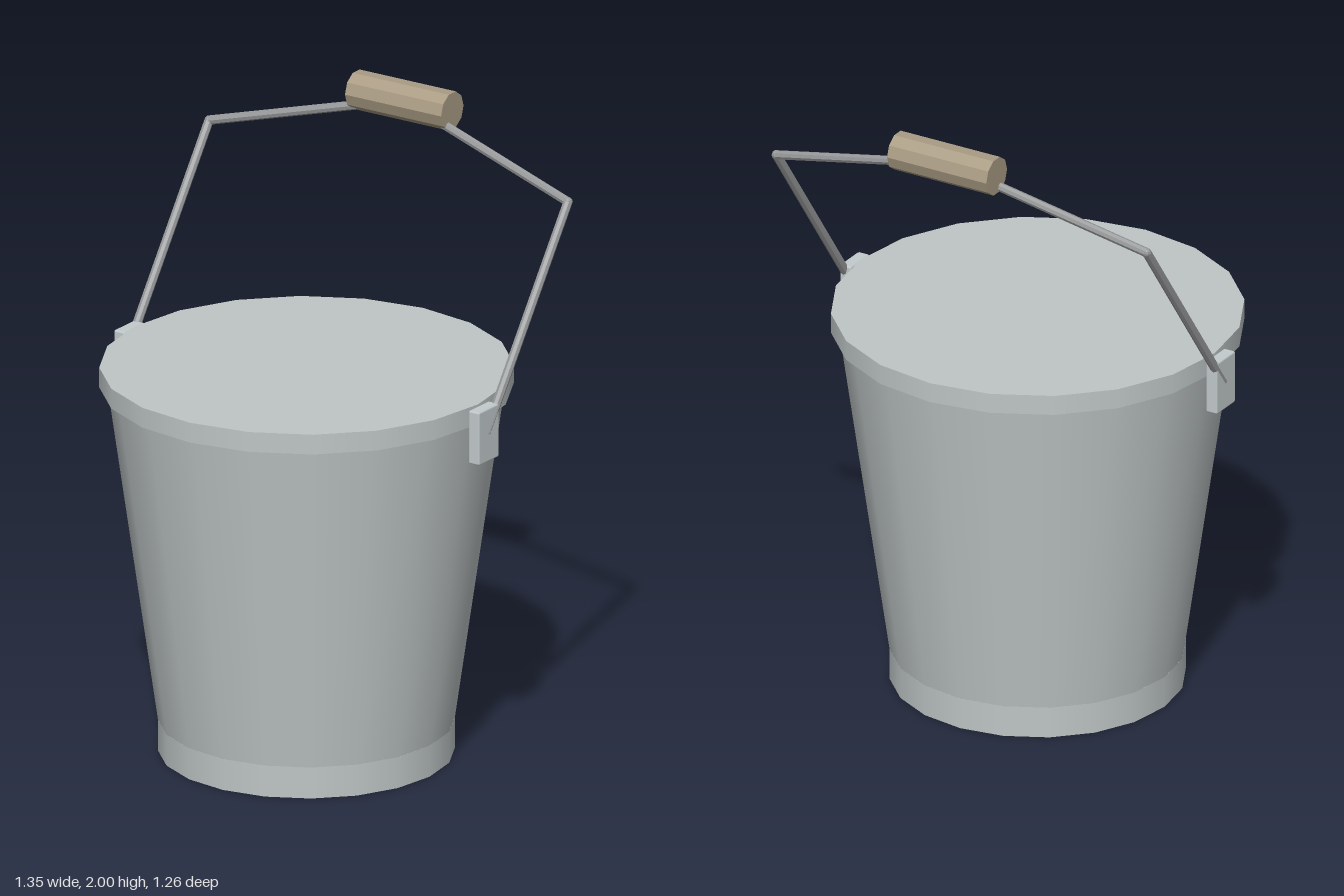
import * as THREE from 'three';
import { RoundedBoxGeometry } from 'three/addons/geometries/RoundedBoxGeometry.js';

const SIDES = 20;

function material(name, color, flatShading = false) {
  const m = new THREE.MeshStandardMaterial({ color, flatShading });
  m.name = name;
  return m;
}

export function createModel() {
  const group = new THREE.Group();
  const steel = material('galvanised steel', 0xbfc6c6);
  const lugSteel = material('light steel', 0xc3cbcd);
  const wire = material('wire', 0x98999a, true);
  const wood = material('wood', 0xaa9c84, true);
  const dark = material('dark underside', 0x4c4c4c);

  function add(name, geometry, mat, x = 0, y = 0, z = 0) {
    const mesh = new THREE.Mesh(geometry, mat);
    mesh.name = name;
    mesh.position.set(x, y, z);
    group.add(mesh);
    return mesh;
  }

  // Upright round section between two heights: side, top and bottom materials
  function section(name, rTop, rBottom, y0, y1, bottom = steel) {
    const geometry = new THREE.CylinderGeometry(rTop, rBottom, y1 - y0, SIDES);
    add(name, geometry, [steel, steel, bottom], 0, (y0 + y1) / 2, 0);
  }

  // Straight piece of wire between two points
  function rod(name, a, b, radius) {
    const dir = b.clone().sub(a);
    const mesh = add(name, new THREE.CylinderGeometry(radius, radius, dir.length(), 8), wire);
    mesh.position.copy(a).add(b).multiplyScalar(0.5);
    mesh.quaternion.setFromUnitVectors(new THREE.Vector3(0, 1, 0), dir.normalize());
  }

  // Tapered bucket with a dark-bottomed foot band and a closed rim
  section('footBand', 0.453, 0.453, 0, 0.1, dark);
  section('body', 0.61, 0.45, 0.08, 1.2);
  section('rim', 0.632, 0.632, 1.176, 1.24);

  // Lugs and bent wire bail, mirrored left and right
  for (const [side, s] of [['left', 1], ['right', -1]]) {
    add(side + 'Lug', new RoundedBoxGeometry(0.041, 0.172, 0.11, 1, 0.006), lugSteel, s * 0.653, 1.15, 0);
    const pivot = new THREE.Vector3(s * 0.661, 1.152, 0);
    const bend = new THREE.Vector3(s * 0.661, 1.77, -0.445);
    const peak = new THREE.Vector3(0, 1.942, -0.53);
    rod(side + 'BailArm', pivot, bend, 0.0145);
    rod(side + 'BailShoulder', bend, peak, 0.0145);
    add(side + 'BailBend', new THREE.SphereGeometry(0.015, 8, 6), wire, bend.x, bend.y, bend.z);
  }

  // Ten-sided wooden grip
  const grip = add('grip', new THREE.CylinderGeometry(0.061, 0.061, 0.354, 10), wood, 0, 1.942, -0.53);
  grip.rotation.z = Math.PI / 2;

  return group;
}
